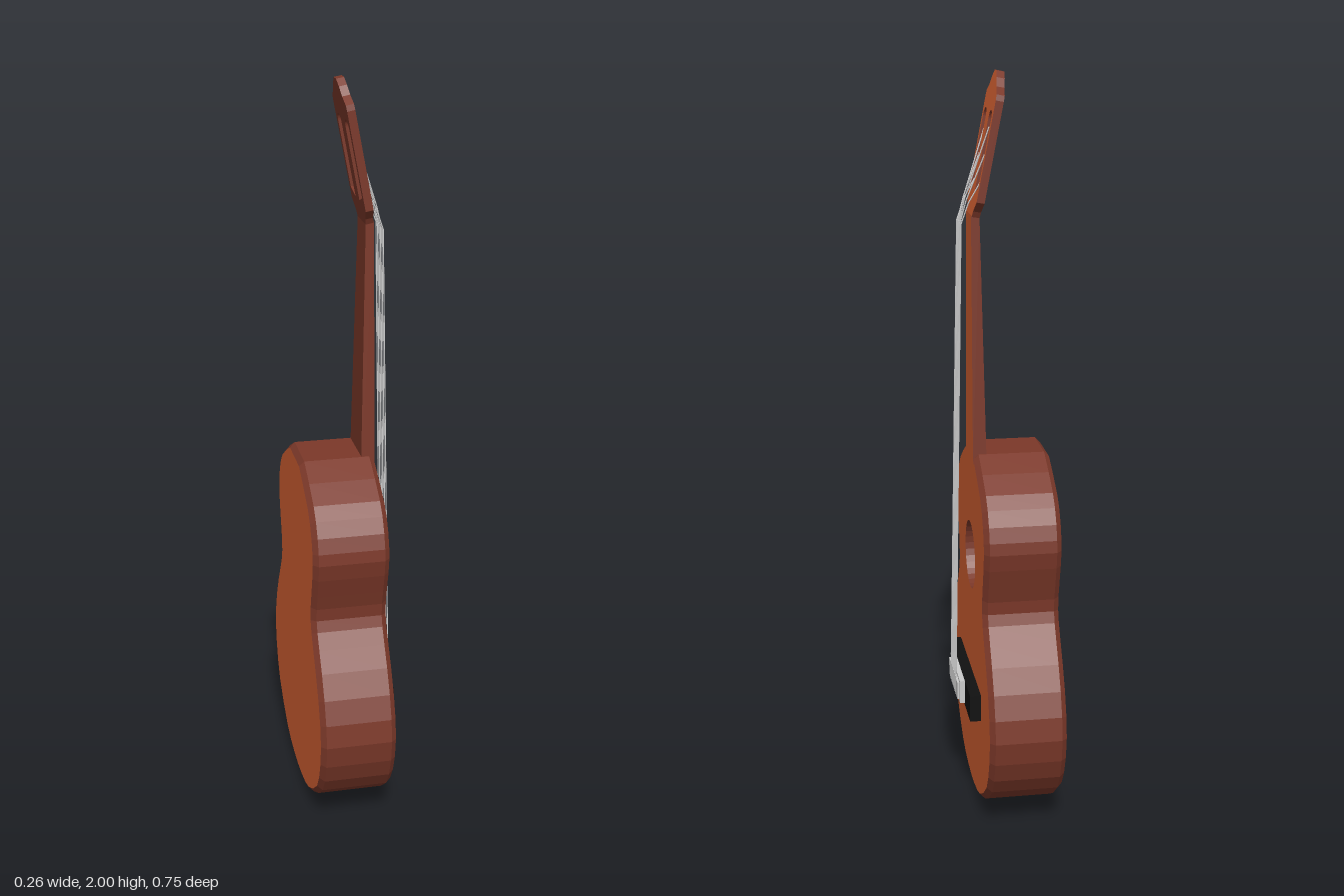
import * as THREE from 'three';

const mat = (color, extra = {}) => new THREE.MeshStandardMaterial({ color, flatShading: true, ...extra });
const wood = mat(0xdb6434);
const dark = mat(0x7b3829);
const black = mat(0x111111);
const grey = mat(0xcccccc);
const V2 = (x, y) => new THREE.Vector2(x, y);

// The guitar is modelled facing +z and turned to face +x at the end.
const BACK = -0.13, FRONT = 0.076, BEVEL = 0.014;

// Closed body outline, counter-clockwise from the bottom centre
function bodyOutline() {
  const half = [[0, 0], [0.1, 0.008], [0.19, 0.036], [0.3, 0.11], [0.352, 0.19], [0.374, 0.29], [0.352, 0.39],
    [0.3, 0.49], [0.25, 0.565], [0.235, 0.615], [0.25, 0.68], [0.272, 0.765], [0.268, 0.82], [0.24, 0.885],
    [0.185, 0.937], [0.072, 0.998]].map(([x, y]) => V2(x, y));
  const right = new THREE.SplineCurve(half).getPoints(24);
  const left = right.slice(1).reverse().map((p) => V2(-p.x, p.y));
  return [...right, ...left];
}

// Moves every outline point inwards along its normal
function inset(points, d) {
  const n = points.length;
  return points.map((p, i) => {
    const t = points[(i + 1) % n].clone().sub(points[(i + n - 1) % n]).normalize();
    return V2(p.x - t.y * d, p.y + t.x * d);
  });
}

// Skin through rings of equal point count, given as [points, z]
function loft(rings) {
  const n = rings[0][0].length, pos = [], index = [];
  rings.forEach(([pts, z]) => pts.forEach((p) => pos.push(p.x, p.y, z)));
  for (let r = 0; r < rings.length - 1; r++) {
    for (let i = 0; i < n; i++) {
      const a = r * n + i, b = r * n + (i + 1) % n;
      index.push(a, b, b + n, a, b + n, a + n);
    }
  }
  const g = new THREE.BufferGeometry();
  g.setAttribute('position', new THREE.Float32BufferAttribute(pos, 3));
  g.setIndex(index);
  g.computeVertexNormals();
  return g;
}

export function createModel() {
  const model = new THREE.Group();
  model.name = 'guitar';
  const guitar = new THREE.Group();
  guitar.name = 'guitarParts';
  guitar.rotation.y = Math.PI / 2;
  model.add(guitar);
  const add = (name, geometry, material, x = 0, y = 0, z = 0) => {
    const m = new THREE.Mesh(geometry, material);
    m.name = name;
    m.position.set(x, y, z);
    guitar.add(m);
    return m;
  };

  // Body sides with chamfered rims
  const outer = bodyOutline(), inner = inset(outer, BEVEL);
  add('bodySides', loft([[inner, BACK], [outer, BACK + BEVEL], [outer, FRONT - BEVEL], [inner, FRONT]]), dark);

  // Top board with sound hole, and back board
  const holeY = 0.69, holeR = 0.095, holeDepth = 0.07;
  const top = new THREE.Shape(inner);
  top.holes.push(new THREE.Path().absarc(0, holeY, holeR, 0, Math.PI * 2, true));
  add('topBoard', new THREE.ShapeGeometry(top, 16), wood, 0, 0, FRONT);
  const back = new THREE.ShapeGeometry(new THREE.Shape(inner));
  back.rotateY(Math.PI);
  add('backBoard', back, wood, 0, 0, BACK);

  // Sound hole recess
  const wall = new THREE.CylinderGeometry(holeR, holeR, holeDepth, 32, 1, true).rotateX(Math.PI / 2);
  add('soundHoleWall', wall, mat(0x7b3829, { side: THREE.BackSide }), 0, holeY, FRONT - holeDepth / 2);
  add('soundHoleFloor', new THREE.CircleGeometry(holeR, 32), wood, 0, holeY, FRONT - holeDepth);

  // Neck: a box tapering in width and thickness
  const neck = new THREE.BoxGeometry(1, 1, 1);
  const p = neck.attributes.position;
  for (let i = 0; i < p.count; i++) {
    const up = p.getY(i) > 0;
    const x = Math.sign(p.getX(i)) * (up ? 0.048 : 0.07) + (up ? 0.005 : 0);
    const z = p.getZ(i) > 0 ? FRONT + 0.001 : (up ? 0.055 : 0.04);
    p.setXYZ(i, x, up ? 1.635 : 0.97, z);
  }
  neck.computeVertexNormals();
  add('neck', neck, [dark, dark, dark, dark, wood, dark]);

  // Headstock: crested outline with two tuning slots, leaning back
  const half = [[0.047, 0], [0.055, 0.018], [0.084, 0.045], [0.087, 0.305], [0.084, 0.32],
    [0.055, 0.338], [0.036, 0.36], [0.015, 0.376]];
  const head = new THREE.Shape([
    ...half.map(([x, y]) => V2(x, y)),
    ...half.slice().reverse().map(([x, y]) => V2(-x, y)),
  ]);
  for (const s of [-1, 1]) {
    const slot = new THREE.Path();
    const cx = s * 0.046, r = 0.023;
    slot.absarc(cx, 0.255, r, 0, Math.PI, false);
    slot.lineTo(cx - r, s < 0 ? 0.078 : 0.062);
    slot.lineTo(cx + r, s < 0 ? 0.062 : 0.078);
    head.holes.push(slot);
  }
  const headGeo = new THREE.ExtrudeGeometry(head, { depth: 0.021, bevelEnabled: false, curveSegments: 8 });
  const [caps, rim] = headGeo.groups;
  headGeo.clearGroups();
  headGeo.addGroup(0, caps.count / 2, 1); // back
  headGeo.addGroup(caps.count / 2, caps.count / 2, 0); // front
  headGeo.addGroup(rim.start, rim.count, 1);
  headGeo.translate(0, 0, -0.021);
  add('headstock', headGeo, [wood, dark], 0.005, 1.63, FRONT).rotation.x = -0.19;

  // Bridge and two-step saddle
  add('bridge', new THREE.BoxGeometry(0.41, 0.075, 0.031), black, -0.005, 0.316, 0.0905);
  add('saddle', new THREE.BoxGeometry(0.2, 0.066, 0.014), grey, -0.004, 0.319, 0.113);
  add('saddleRidge', new THREE.BoxGeometry(0.178, 0.05, 0.006), grey, -0.004, 0.319, 0.123);

  // Strings: bridge to nut, then down into the headstock slots
  const ends = [[-0.044, 1.72], [-0.038, 1.79], [-0.031, 1.86], [0.038, 1.86], [0.045, 1.79], [0.055, 1.72]];
  ends.forEach(([x, y], i) => {
    const u = (i - 2.5) * 0.021;
    const path = new THREE.CurvePath();
    const a = new THREE.Vector3(u, 0.295, 0.126);
    const b = new THREE.Vector3(u * 0.8 + 0.004, 1.635, 0.102);
    const c = new THREE.Vector3(x, y, FRONT - 0.19 * (y - 1.63) - 0.005);
    path.add(new THREE.LineCurve3(a, b));
    path.add(new THREE.LineCurve3(b, c));
    add('string', new THREE.TubeGeometry(path, 24, 0.0018, 5), grey);
  });
  return model;
}
